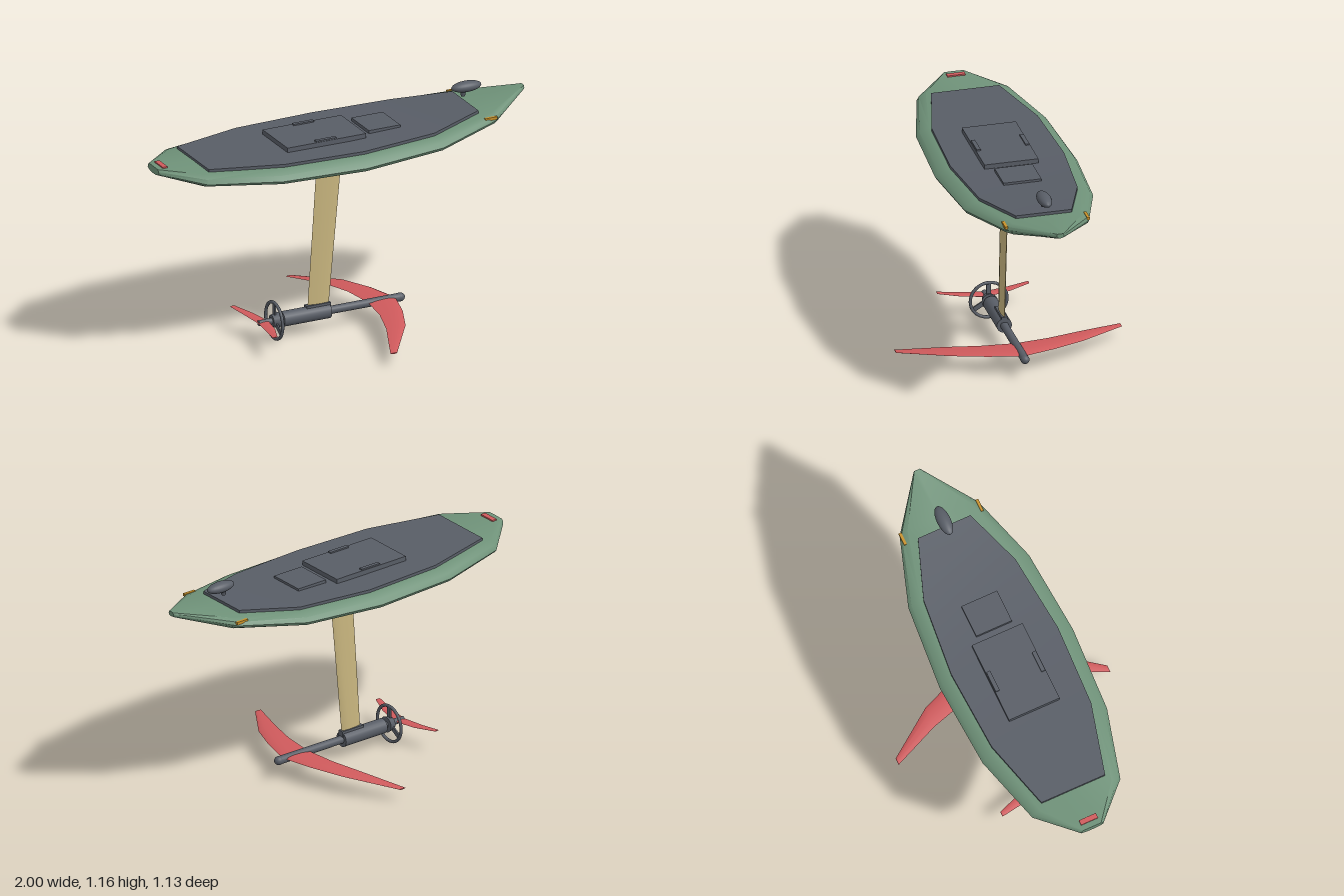
import * as THREE from 'three';
import { toCreasedNormals } from 'three/addons/utils/BufferGeometryUtils.js';

const mat = (name, color) => {
  const m = new THREE.MeshStandardMaterial({ color });
  m.name = name;
  return m;
};

// Skin a list of equal-length rings of [x, y, z] points, with end caps
function loft(rings, crease = 0.5) {
  const n = rings[0].length, pos = rings.flat(2), idx = [];
  for (let i = 0; i < rings.length - 1; i++)
    for (let j = 0; j < n; j++) {
      const a = i * n + j, b = i * n + (j + 1) % n;
      idx.push(a, b, a + n, b, b + n, a + n);
    }
  const last = (rings.length - 1) * n;
  for (let j = 1; j < n - 1; j++) {
    idx.push(0, j + 1, j);
    idx.push(last, last + j, last + j + 1);
  }
  // Turn the faces outward if the enclosed volume comes out negative
  const p = i => new THREE.Vector3(...pos.slice(i * 3, i * 3 + 3));
  let volume = 0;
  for (let i = 0; i < idx.length; i += 3)
    volume += p(idx[i]).dot(p(idx[i + 1]).cross(p(idx[i + 2])));
  if (volume < 0) idx.reverse();
  const g = new THREE.BufferGeometry();
  g.setAttribute('position', new THREE.Float32BufferAttribute(pos, 3));
  g.setIndex(idx);
  return toCreasedNormals(g, crease);
}

// Streamlined outline: fraction along the chord, fraction of half thickness
const foil = [[0, 0], [0.3, 0.75], [0.65, 1], [0.9, 0.7], [1, 0], [0.9, -0.7], [0.65, -1], [0.3, -0.75]];

// Wing from half-span stations [z, trailing x, leading x, y, half thickness]
function wing(stations) {
  const mirrored = stations.slice(1).reverse().map(([z, ...r]) => [-z, ...r]);
  return loft([...mirrored, ...stations].map(([z, x0, x1, y, t]) =>
    foil.map(([u, v]) => [x0 + (x1 - x0) * u, y + t * v, z])));
}

export function createModel() {
  const green = mat('hull green', 0x6f9279);
  const grey = mat('dark grey', 0x585d66);
  const sand = mat('mast sand', 0xc9b67f);
  const red = mat('wing red', 0xcf5a5c);
  const amber = mat('fitting amber', 0xc8912a);

  const root = new THREE.Group();
  const add = (name, geometry, material, x = 0, y = 0, z = 0) => {
    const m = new THREE.Mesh(geometry, material);
    m.name = name;
    m.position.set(x, y, z);
    root.add(m);
    return m;
  };
  const box = (name, m, size, at) => add(name, new THREE.BoxGeometry(...size), m, ...at);
  const rod = (name, m, r0, r1, x0, x1, y = 0.1) => {
    const g = new THREE.CylinderGeometry(r1, r0, x1 - x0, 20).rotateZ(-Math.PI / 2);
    return add(name, g, m, (x0 + x1) / 2, y, 0);
  };

  // Hull stations: x, half width, bottom, rail and deck heights
  const half = [[0, 1], [0.8, 0.95], [0.95, 0.55], [1, 0], [0.97, -0.25], [0.8, -0.58], [0.4, -0.93], [0, -1]];
  const section = [...half, ...half.slice(1, -1).reverse().map(([u, v]) => [-u, v])];
  const hull = [
    [-1, 0.06, 0.985, 1.0, 1.022], [-0.82, 0.235, 0.935, 0.975, 1.015], [-0.46, 0.332, 0.9, 0.962, 1.008],
    [-0.02, 0.356, 0.89, 0.96, 1.006], [0.41, 0.322, 0.915, 0.978, 1.017], [0.75, 0.21, 0.97, 1.018, 1.048],
    [0.985, 0.03, 1.058, 1.073, 1.087], [1, 0.018, 1.066, 1.078, 1.09],
  ];
  add('hull', loft(hull.map(([x, w, bottom, rail, deck]) => section.map(([u, v]) =>
    [x, rail + v * (v > 0 ? deck - rail : rail - bottom), u * w])), 0.7), green);

  // Deck pad: x, half width, top height
  const pad = [[-0.785, 0.17, 1.026], [-0.42, 0.266, 1.022], [0, 0.285, 1.02], [0.4, 0.246, 1.03], [0.69, 0.14, 1.058]];
  add('deckPad', loft(pad.map(([x, w, y]) =>
    [[x, y, w], [x, y, -w], [x, y - 0.015, -w], [x, y - 0.015, w]]), 0.3), grey);

  // Hatches and latches
  box('mainHatch', grey, [0.425, 0.03, 0.27], [-0.128, 1.03, 0]);
  box('smallHatch', grey, [0.17, 0.022, 0.19], [0.205, 1.028, 0]);
  for (const s of [1, -1]) {
    box('hatchLatch', grey, [0.11, 0.012, 0.02], [-0.128, 1.046, s * 0.122]);
    box('railFitting', amber, [0.065, 0.014, 0.014], [0.725, 1.032, s * 0.205]);
  }
  box('tailMarker', red, [0.026, 0.009, 0.09], [-0.958, 1.022, 0]);

  // Pod above the bow
  add('bowPod', new THREE.SphereGeometry(1, 24, 14).scale(0.08, 0.027, 0.034), grey, 0.695, 1.133, 0);
  add('bowPodStem', new THREE.CylinderGeometry(0.016, 0.01, 0.032, 12), grey, 0.677, 1.102, 0);

  // Raked mast with its mounting plate
  box('mastPlate', sand, [0.23, 0.014, 0.13], [-0.075, 0.888, 0]);
  add('mast', loft([[0.12, -0.166, -0.052], [0.89, -0.115, 0.02]].map(([y, x0, x1]) =>
    foil.map(([u, v]) => [x0 + (x1 - x0) * u, y, v * 0.009]))), sand);

  // Fuselage, motor and tail shaft
  rod('motorPod', grey, 0.038, 0.038, -0.305, -0.05);
  box('mastSocket', grey, [0.13, 0.03, 0.03], [-0.11, 0.132, 0]);
  rod('fuselage', grey, 0.02, 0.021, -0.05, 0.335);
  add('fuselageNose', new THREE.SphereGeometry(0.022, 20, 12).scale(1.15, 1, 1), grey, 0.335, 0.1, 0);
  rod('tailShaft', grey, 0.014, 0.018, -0.43, -0.3);

  // Ducted propeller
  rod('propellerHub', grey, 0.03, 0.04, -0.36, -0.325);
  const ring = new THREE.TorusGeometry(0.092, 0.008, 10, 40).rotateY(Math.PI / 2);
  add('propellerRing', ring, grey, -0.345, 0.1, 0);
  for (let i = 0; i < 3; i++) {
    const blade = new THREE.BoxGeometry(0.008, 0.07, 0.024).translate(0, 0.056, 0);
    add('propellerBlade', blade, grey, -0.345, 0.1, 0).rotation.x = i * Math.PI * 2 / 3;
  }

  // Lifting wings
  add('frontWing', wing([[0, 0.16, 0.31, 0.104, 0.009], [0.17, 0.14, 0.265, 0.102, 0.008],
    [0.33, 0.095, 0.2, 0.095, 0.007], [0.565, 0, 0.036, 0.065, 0.003]]), red);
  add('rearWing', wing([[0, -0.435, -0.375, 0.102, 0.006], [0.12, -0.45, -0.4, 0.106, 0.004],
    [0.23, -0.47, -0.443, 0.113, 0.002]]), red);

  return root;
}
